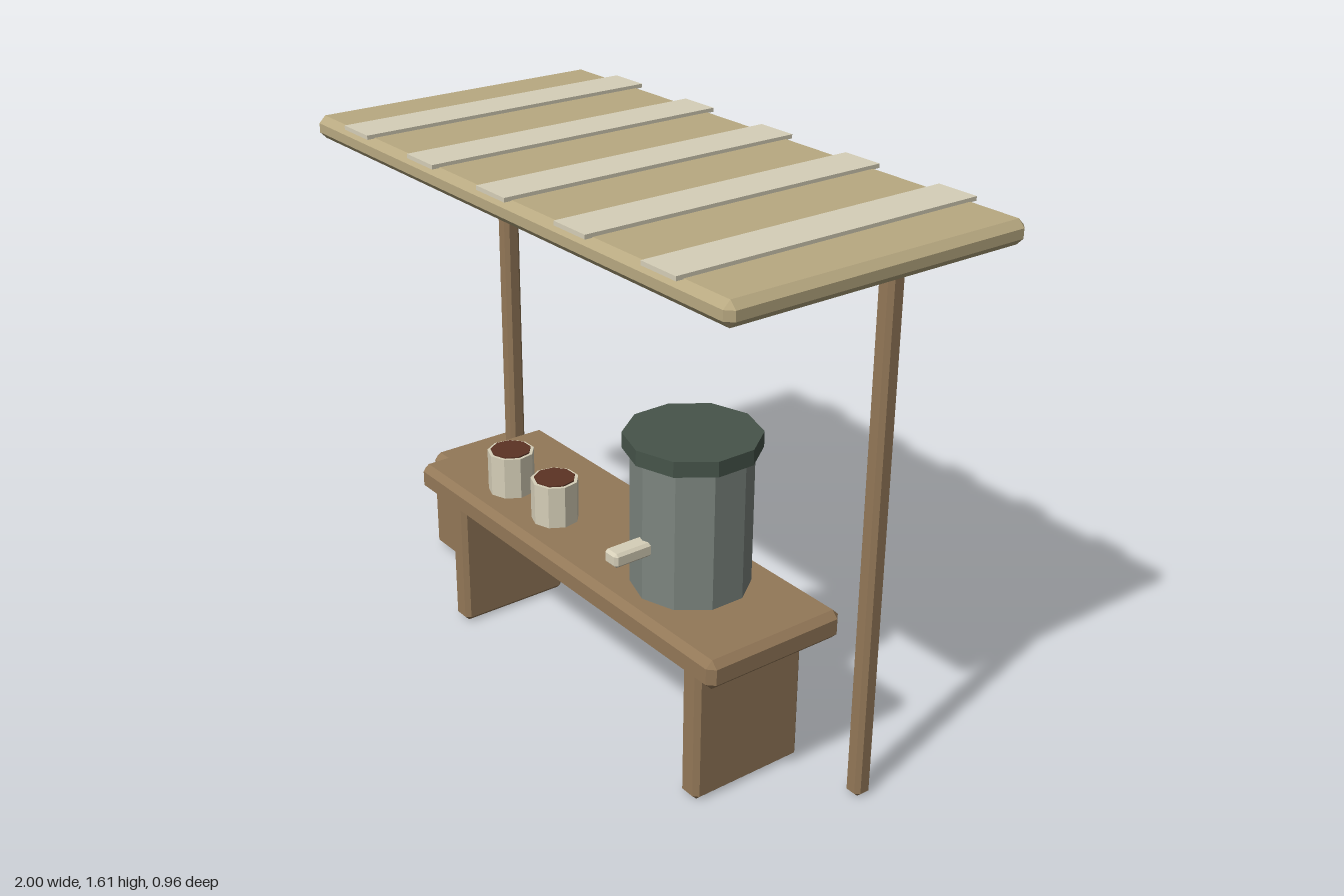
import * as THREE from 'three';
import { ConvexGeometry } from 'three/addons/geometries/ConvexGeometry.js';

const mat = (color) => new THREE.MeshStandardMaterial({ color, flatShading: true });

// Box with every edge chamfered by c, given its min and max corners
function chamferBox(min, max, c) {
  const h = max.map((v, i) => (v - min[i]) / 2);
  const points = [];
  for (const sx of [-1, 1]) for (const sy of [-1, 1]) for (const sz of [-1, 1]) {
    for (let face = 0; face < 3; face++) {
      const p = h.map((v, i) => (i === face ? v : v - c));
      points.push(new THREE.Vector3(sx * p[0], sy * p[1], sz * p[2]));
    }
  }
  return new ConvexGeometry(points).translate(min[0] + h[0], min[1] + h[1], min[2] + h[2]);
}

// Upright prism standing on y0
const prism = (r, y0, y1, sides) =>
  new THREE.CylinderGeometry(r, r, y1 - y0, sides).translate(0, (y0 + y1) / 2, 0);

export function createModel() {
  const model = new THREE.Group();
  const wood = mat(0x937858), canvas = mat(0xb8a981), pale = mat(0xd6cfb8);
  const steel = mat(0x7c857f), green = mat(0x46544a), coffee = mat(0x5c3324);
  const cx = 0.055; // the stall's centre line

  const add = (name, geometry, material, parent = model) => {
    const mesh = new THREE.Mesh(geometry, material);
    mesh.name = name;
    parent.add(mesh);
    return mesh;
  };

  // Bench with two board legs
  add('benchTop', chamferBox([cx - 0.72, 0.425, -0.138], [cx + 0.72, 0.512, 0.318], 0.02), wood);
  for (const s of [-1, 1]) {
    const side = s > 0 ? 'left' : 'right';
    const lx = cx + s * 0.58, px = cx + s * 0.84;
    add(side + 'BenchLeg', chamferBox([lx - 0.036, 0.003, -0.095], [lx + 0.036, 0.44, 0.275], 0.014), wood);
    add(side + 'Post', chamferBox([px - 0.027, 0.003, -0.141], [px + 0.027, 1.545, -0.087], 0.012), wood);
  }

  // Crate around the foot of one post
  add('crate', chamferBox([-1, 0.003, -0.26], [-0.627, 0.352, 0.084], 0.022), wood);

  // Awning with pale stripes
  add('awning', chamferBox([cx - 0.94, 1.535, -0.475], [cx + 0.94, 1.602, 0.475], 0.02), canvas);
  for (let i = -2; i <= 2; i++) {
    const stripe = add('awningStripe', new THREE.BoxGeometry(0.13, 0.012, 0.956), pale);
    stripe.position.set(cx + i * 0.347, 1.606, 0);
  }

  // Drinks urn with lid and tap
  const urn = new THREE.Group();
  urn.name = 'urn';
  urn.position.set(0.404, 0, 0.089);
  add('urnBody', prism(0.168, 0.51, 0.925, 10), steel, urn);
  add('urnLid', prism(0.19, 0.92, 0.965, 10), green, urn);
  add('urnTap', chamferBox([-0.027, 0.65, 0.135], [0.027, 0.692, 0.275], 0.008), pale, urn);
  model.add(urn);

  // Two filled cups
  for (const x of [-0.352, -0.12]) {
    const cup = new THREE.Group();
    cup.name = 'cup';
    cup.position.set(x, 0, 0.18);
    add('cupBody', prism(0.071, 0.51, 0.641, 9), pale, cup);
    add('cupDrink', prism(0.061, 0.63, 0.645, 9), coffee, cup);
    model.add(cup);
  }
  return model;
}
